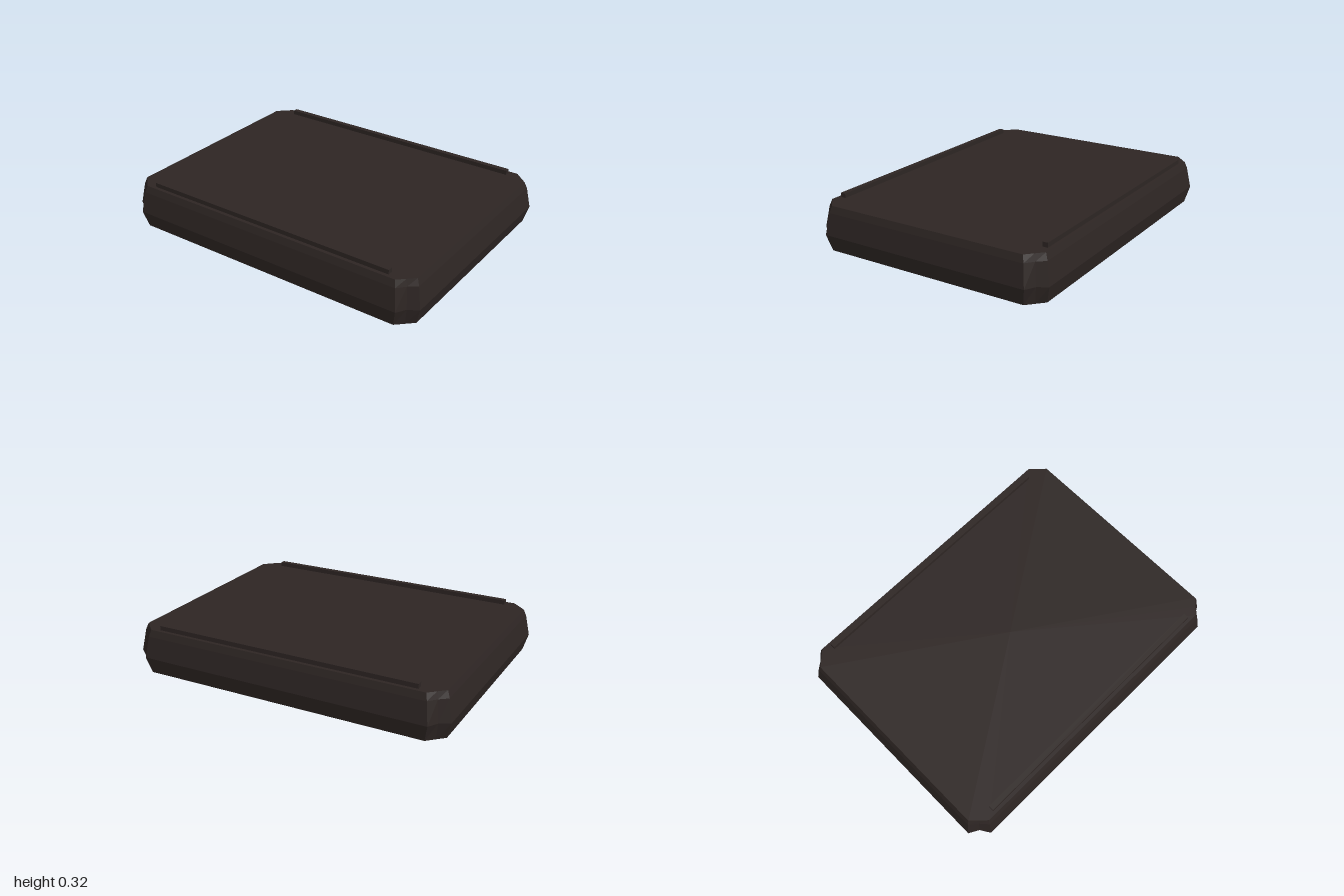
import * as THREE from 'three';

// Outline with cut corners, running from +x towards -z; dent pulls the middle of each cut inward
function outline(x, z, cut, cutZ, dent) {
  const corner = [
    [x, z - cutZ],
    [x - cut / 2 - dent, z - cutZ / 2 - dent],
    [x - cut, z],
  ];
  const mirror = (sx, sz) => corner.map(([px, pz]) => [px * sx, pz * sz]);
  return [
    ...mirror(1, -1),
    ...mirror(-1, -1).reverse(),
    ...mirror(-1, 1),
    ...mirror(1, 1).reverse(),
  ];
}

// Faceted body lofted through horizontal rings, closed by a fan above and below
function loft(rings, bottomY, topY) {
  const pos = [];
  const loops = rings.map(({ y, pts }) => pts.map(([x, z]) => [x, y, z]));
  const n = loops[0].length;
  const tri = (a, b, c) => pos.push(...a, ...b, ...c);
  for (let i = 0; i < n; i++) {
    const j = (i + 1) % n;
    for (let r = 0; r < loops.length - 1; r++) {
      const lo = loops[r], hi = loops[r + 1];
      tri(lo[i], lo[j], hi[j]);
      tri(lo[i], hi[j], hi[i]);
    }
    const first = loops[0], last = loops[loops.length - 1];
    tri(first[j], first[i], [0, bottomY, 0]);
    tri(last[i], last[j], [0, topY, 0]);
  }
  const geo = new THREE.BufferGeometry();
  geo.setAttribute('position', new THREE.Float32BufferAttribute(pos, 3));
  geo.computeVertexNormals();
  return geo;
}

export function createModel() {
  const model = new THREE.Group();
  model.name = 'lowSlab';
  const dark = new THREE.MeshStandardMaterial({ color: 0x2d2523, flatShading: true });

  // Slab: widest low on the sides, with a bevelled top edge and a slightly bellied underside
  const slab = new THREE.Mesh(loft([
    { y: 0.02, pts: outline(0.972, 0.73, 0.09, 0.085, 0) },
    { y: 0.12, pts: outline(1.0, 0.755, 0.095, 0.09, 0.012) },
    { y: 0.25, pts: outline(0.977, 0.732, 0.09, 0.085, 0.004) },
    { y: 0.29, pts: outline(0.962, 0.717, 0.085, 0.08, 0) },
  ], 0, 0.29), dark);
  slab.name = 'slabBody';
  model.add(slab);

  // Raised rails along the front and back edges
  for (const [name, side] of [['frontRail', 1], ['backRail', -1]]) {
    const rail = new THREE.Mesh(new THREE.BoxGeometry(1.65, 0.06, 0.032), dark);
    rail.name = name;
    rail.position.set(0, 0.287, side * 0.68);
    model.add(rail);
  }
  return model;
}
